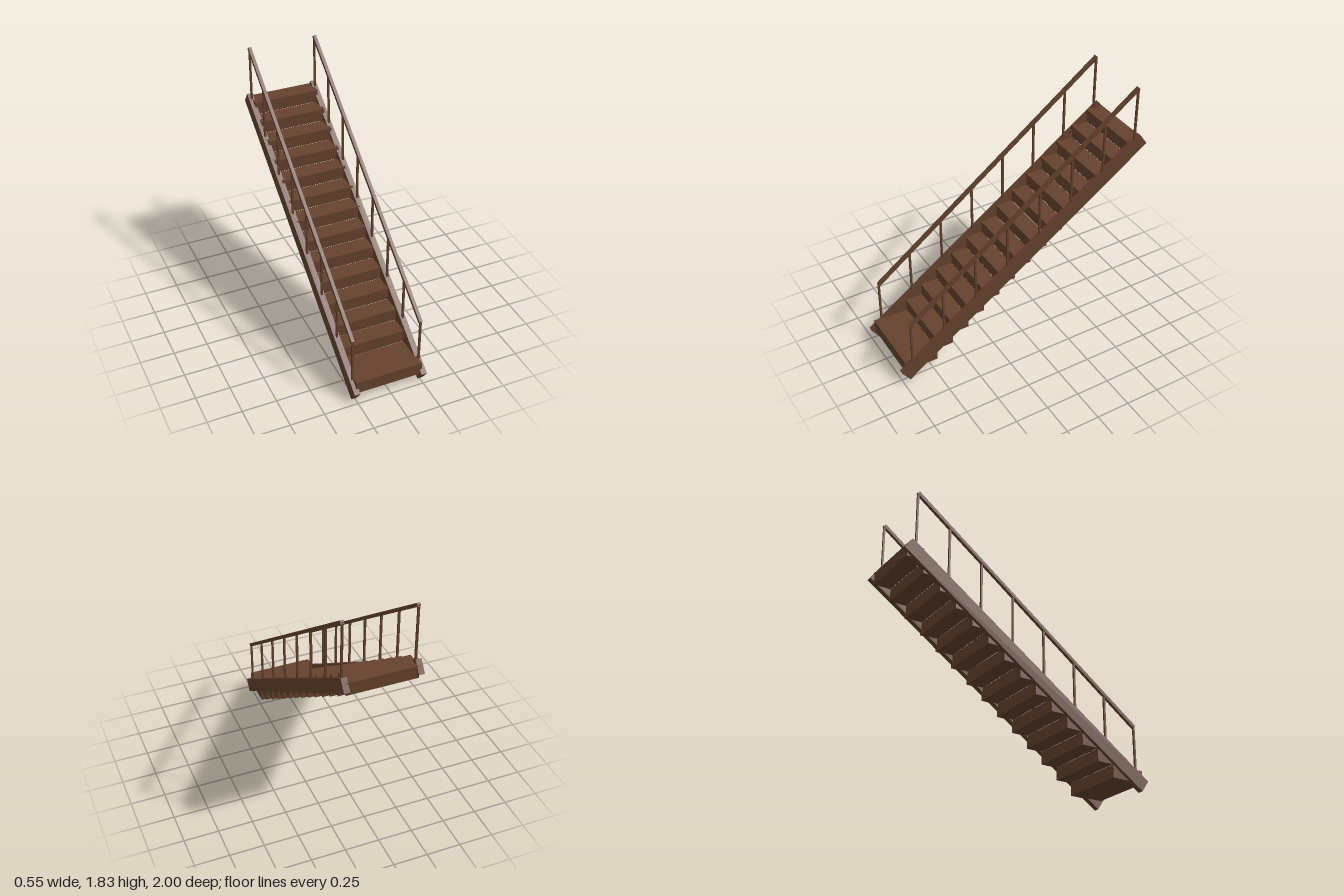
import * as THREE from 'three';

export function createModel() {
  const group = new THREE.Group();
  group.name = 'staircase';
  const wood = new THREE.MeshStandardMaterial({ color: 0x65422e });
  wood.name = 'brown wood';

  const box = (name, w, h, d, x, y, z, tilt = 0) => {
    const mesh = new THREE.Mesh(new THREE.BoxGeometry(w, h, d), wood);
    mesh.name = name;
    mesh.position.set(x, y, z);
    mesh.rotation.x = tilt;
    group.add(mesh);
  };

  // Steps: solid blocks climbing towards the back
  const run = 0.1293, rise = 0.0957, halfWidth = 0.25;
  for (let i = 0; i < 14; i++) {
    box('step', halfWidth * 2, 0.094, run, 0, 0.115 + i * rise, 0.84 - (i + 0.5) * run);
  }
  // Extra tread in front of the lowest step
  box('bottomTread', halfWidth * 2, 0.094, run, 0, 0.115, 0.84 + run / 2);

  const slope = 0.697;
  const railSlope = rise / run;
  const railY = z => 1.152 - z * railSlope;
  for (const side of [-1, 1]) {
    // Sloping side beam
    box('stringer', 0.042, 0.101, 2.37, side * 0.255, 0.72, 0, Math.atan(slope));

    // Handrail
    box('handrail', 0.024, 0.025, 1.815 * Math.hypot(1, railSlope),
      side * 0.254, railY(0), 0, Math.atan(railSlope));

    // Upright posts between beam and handrail
    for (let i = 0; i < 8; i++) {
      const z = 0.907 - i * 0.259;
      const bottom = 0.75 - z * slope;
      const top = railY(z);
      box('post', 0.014, top - bottom, 0.014, side * 0.254, (top + bottom) / 2, z);
    }
  }
  return group;
}
